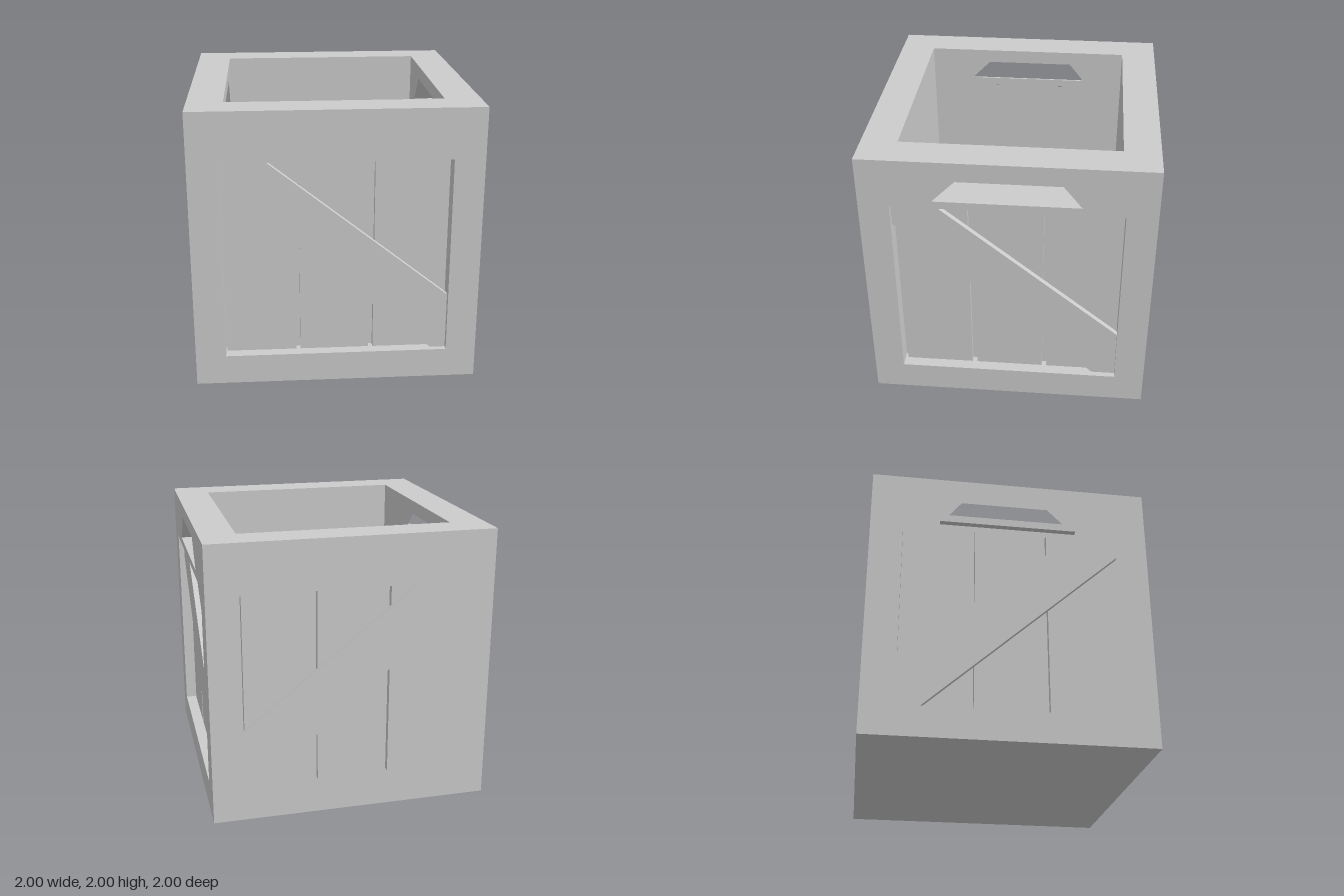
import * as THREE from 'three';

const INNER = 0.75, BACK = 0.875, PLANK = 0.92, BRACE = 0.96, OUTER = 1;
const material = new THREE.MeshStandardMaterial({ color: 0xcccccc, flatShading: true });

const RIM = [[-1, 0], [1, 0], [1, 2], [-1, 2]];
const PANEL = [[-0.787, 0.215], [0.787, 0.215], [0.787, 1.645], [-0.787, 1.645]];
const GRIP = [[-0.5, 1.7], [0.5, 1.7], [0.34, 1.9], [-0.3, 1.9]];

// Planks are [left, right] spans; the brace runs from upper left to lower right.
const FRONT = {
  planks: [[-0.78, -0.285], [-0.255, 0.235], [0.265, 0.755]],
  brace: [[-0.787, 1.645], [-0.485, 1.645], [0.787, 0.63], [0.787, 0.215], [0.68, 0.215], [-0.787, 1.47]],
  holes: [],
};
const SIDE = {
  planks: [[-0.765, -0.275], [-0.24, 0.245], [0.28, 0.765]],
  brace: [[-0.787, 1.645], [-0.5, 1.645], [0.787, 0.59], [0.787, 0.215], [0.62, 0.215], [-0.787, 1.475]],
  holes: [GRIP],
};

// Extrudes an outline from one depth to another; flip mirrors it sideways.
function slab(outline, holes, from, to, flip) {
  const pts = (list) => list.map(([x, y]) => new THREE.Vector2(x * flip, y));
  const shape = new THREE.Shape(pts(outline));
  for (const hole of holes) shape.holes.push(new THREE.Path(pts(hole)));
  const geo = new THREE.ExtrudeGeometry(shape, { depth: to - from, bevelEnabled: false });
  return geo.translate(0, 0, from);
}

// Cuts the upright ends at 45 degrees so neighbouring walls meet at the corner.
function mitre(geo) {
  const p = geo.attributes.position;
  for (let i = 0; i < p.count; i++) {
    if (Math.abs(p.getX(i)) > 0.9) p.setX(i, Math.sign(p.getX(i)) * p.getZ(i));
  }
  geo.computeVertexNormals();
  return geo;
}

function createWall(name, spec, angle, flip) {
  const wall = new THREE.Group();
  wall.name = name;
  const add = (part, geo) => {
    const mesh = new THREE.Mesh(geo, material);
    mesh.name = part;
    wall.add(mesh);
  };
  add('frame', mitre(slab(RIM, [PANEL, ...spec.holes], BACK, OUTER, flip)));
  add('lining', mitre(slab(RIM, spec.holes, INNER, BACK, flip)));
  spec.planks.forEach(([a, b], i) => {
    const outline = [[a, 0.215], [b, 0.215], [b, 1.645], [a, 1.645]];
    add(`plank${i + 1}`, slab(outline, [], BACK, PLANK, flip));
  });
  add('brace', slab(spec.brace, [], PLANK, BRACE, flip));
  wall.rotation.y = angle;
  return wall;
}

export function createModel() {
  const crate = new THREE.Group();
  crate.name = 'crate';

  // Four walls, opposite ones mirrored
  crate.add(
    createWall('frontWall', FRONT, 0, 1),
    createWall('backWall', FRONT, Math.PI, -1),
    createWall('leftWall', SIDE, Math.PI / 2, 1),
    createWall('rightWall', SIDE, -Math.PI / 2, -1),
  );

  // Floor inside the walls
  const floor = new THREE.Mesh(new THREE.BoxGeometry(2 * INNER, 0.25, 2 * INNER), material);
  floor.name = 'floor';
  floor.position.y = 0.125;
  crate.add(floor);
  return crate;
}
